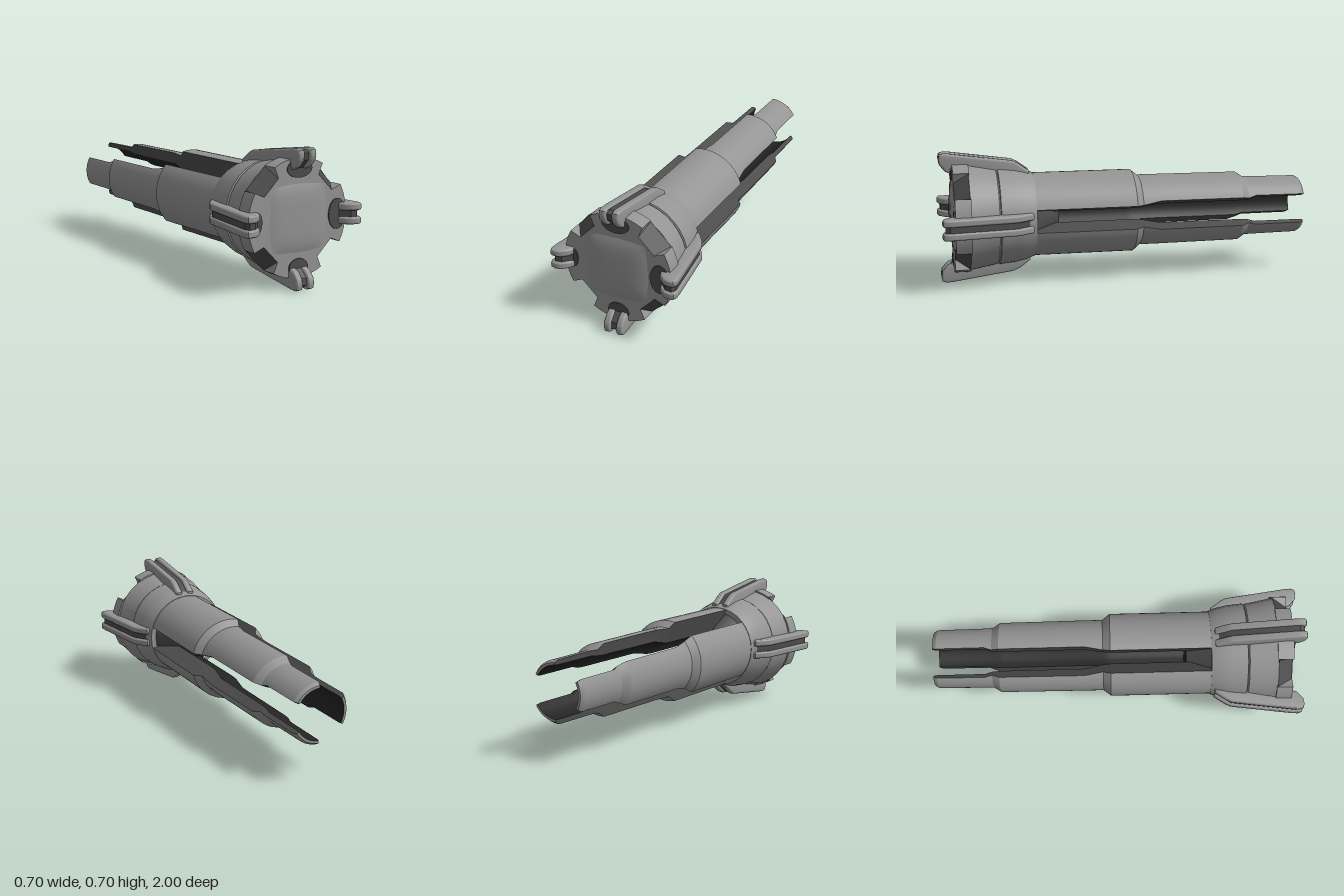
import * as THREE from 'three';
import { toCreasedNormals } from 'three/addons/utils/BufferGeometryUtils.js';
import { ConvexGeometry } from 'three/addons/geometries/ConvexGeometry.js';

const light = new THREE.MeshStandardMaterial({ color: 0x949494 });
light.name = 'lightGrey';
const dark = new THREE.MeshStandardMaterial({ color: 0x4c4c4c });
dark.name = 'darkGrey';
const black = new THREE.MeshStandardMaterial({ color: 0x242424 });
black.name = 'black';

const rad = THREE.MathUtils.degToRad;

function add(parent, name, geo, mat) {
  const mesh = new THREE.Mesh(geo, mat);
  mesh.name = name;
  parent.add(mesh);
  return mesh;
}

// Grid surface; fn(i, j) gives a point and the front faces du x dv
function grid(nu, nv, fn) {
  const pos = [], idx = [];
  for (let j = 0; j <= nv; j++) for (let i = 0; i <= nu; i++) pos.push(...fn(i, j));
  for (let j = 0; j < nv; j++) for (let i = 0; i < nu; i++) {
    const a = j * (nu + 1) + i, b = a + 1, c = a + nu + 1, d = c + 1;
    idx.push(a, b, d, a, d, c);
  }
  const g = new THREE.BufferGeometry();
  g.setAttribute('position', new THREE.Float32BufferAttribute(pos, 3));
  g.setIndex(idx);
  g.computeVertexNormals();
  return toCreasedNormals(g, 0.5);
}

// Lathe around the z axis from [radius, z] pairs with z rising
function turned(points, sides = 32) {
  const g = new THREE.LatheGeometry(points.map(p => new THREE.Vector2(...p)), sides);
  g.rotateX(Math.PI / 2);
  return toCreasedNormals(g, 0.5);
}

// Barrel shell rows: z, outer radius, inner radius, half gap in degrees
const ROWS = [
  [0.53, 0.225, 0.11, 16], [-0.04, 0.225, 0.11, 16], [-0.08, 0.193, 0.11, 18],
  [-0.18, 0.193, 0.128, 24], [-0.64, 0.19, 0.13, 24], [-0.68, 0.164, 0.132, 25],
  [-0.72, 0.163, 0.135, 30], [-0.98, 0.16, 0.135, 30], [-1, 0.148, 0.135, 32],
];

function barrelShell(centre) {
  const g = new THREE.Group();
  g.name = 'barrelShell';
  const n = 14, last = ROWS.length - 1;
  const at = (t, r, row) => {
    const a = rad(centre + t * (60 - row[3]));
    return [r * Math.cos(a), r * Math.sin(a), row[0]];
  };
  add(g, 'shellOutside', grid(n, last, (i, j) => at(1 - 2 * i / n, ROWS[j][1], ROWS[j])), light);
  add(g, 'shellInside', grid(n, last, (i, j) => at(2 * i / n - 1, ROWS[j][2], ROWS[j])), black);
  add(g, 'shellEdge', grid(1, last, (i, j) => at(1, ROWS[j][2 - i], ROWS[j])), dark);
  add(g, 'shellEdge', grid(1, last, (i, j) => at(-1, ROWS[j][1 + i], ROWS[j])), dark);
  add(g, 'shellEnd', grid(n, 1, (i, j) => at(2 * i / n - 1, ROWS[last][2 - j], ROWS[last])), light);
  return g;
}

// Fin side profile as [z, radius] pairs, extruded across x
function finPlate(points, width, bevel) {
  const shape = new THREE.Shape(points.map(p => new THREE.Vector2(...p)));
  const geo = new THREE.ExtrudeGeometry(shape, {
    depth: width - 2 * bevel, bevelEnabled: bevel > 0, bevelSize: bevel,
    bevelThickness: bevel, bevelOffset: -bevel, bevelSegments: 3,
  });
  geo.translate(0, 0, -(width - 2 * bevel) / 2);
  geo.rotateY(-Math.PI / 2);
  return toCreasedNormals(geo, 0.6);
}

function fin() {
  const g = new THREE.Group();
  g.name = 'fin';
  const rail = finPlate([
    [0.52, 0.2], [0.93, 0.24], [0.965, 0.255], [0.995, 0.29], [1, 0.32],
    [0.995, 0.342], [0.975, 0.35], [0.94, 0.348], [0.61, 0.302], [0.58, 0.288], [0.52, 0.245],
  ], 0.038, 0.011);
  for (const s of [-1, 1]) add(g, 'finRail', rail, light).position.x = s * 0.035;
  add(g, 'finGroove', finPlate([
    [0.53, 0.2], [0.93, 0.24], [0.98, 0.29], [0.985, 0.325], [0.96, 0.338], [0.61, 0.29], [0.53, 0.235],
  ], 0.036, 0), dark);
  return g;
}

export function createModel() {
  const model = new THREE.Group();
  const body = new THREE.Group();
  body.name = 'body';
  body.position.y = 0.355;
  model.add(body);

  for (const c of [60, 180, 300]) body.add(barrelShell(c));

  // Plug closing the barrel where it meets the head
  add(body, 'barrelPlug', turned([[0.1, 0.37], [0.205, 0.52]]), dark);
  add(body, 'plugCap', turned([[0.001, 0.37], [0.1, 0.37]]), black);

  // Head
  add(body, 'collar', turned([[0.2, 0.5], [0.228, 0.5], [0.243, 0.54], [0.256, 0.6], [0.265, 0.69], [0.25, 0.695]]), light);
  add(body, 'headBarrel', turned([[0.25, 0.69], [0.262, 0.7], [0.277, 0.78], [0.29, 0.85], [0.2, 0.85]]), light);

  // Front ring with four diagonal notches
  const outline = [];
  for (let q = 0; q < 4; q++) {
    const turn = (x, y) => new THREE.Vector2(x, y).rotateAround(new THREE.Vector2(), q * Math.PI / 2);
    for (let k = -4; k <= 4; k++) {
      const a = rad(k * 7.3);
      outline.push(turn(0.297 * Math.cos(a), 0.297 * Math.sin(a)));
    }
    outline.push(turn(0.205, 0.122), turn(0.122, 0.205));
  }
  const plate = new THREE.ExtrudeGeometry(new THREE.Shape(outline), { depth: 0.085, bevelEnabled: false });
  plate.translate(0, 0, 0.845);
  add(body, 'frontRing', toCreasedNormals(plate, 0.5), light);

  // Dark sloping fill in each notch
  const wedge = new ConvexGeometry([
    [0.205, 0.122, 0.928], [0.122, 0.205, 0.928], [0.205, 0.122, 0.84],
    [0.122, 0.205, 0.84], [0.257, 0.147, 0.85], [0.147, 0.257, 0.85],
  ].map(p => new THREE.Vector3(...p)));
  for (let q = 0; q < 4; q++) add(body, 'notch', wedge, dark).rotation.z = q * Math.PI / 2;

  // Softly raised square pillow on the front
  const pillow = new THREE.PlaneGeometry(0.34, 0.34, 20, 20);
  const p = pillow.attributes.position;
  for (let i = 0; i < p.count; i++) {
    const u = p.getX(i) / 0.17, v = p.getY(i) / 0.17;
    const pull = 1 - 0.08 * u * u * v * v;
    p.setXYZ(i, p.getX(i) * pull, p.getY(i) * pull, 0.931 + 0.014 * (1 - u ** 4) * (1 - v ** 4));
  }
  pillow.computeVertexNormals();
  add(body, 'frontPillow', pillow, light);

  // Dark patches at the feet of the fins: x, y, half width, half height
  for (const [x, y, w, h] of [
    [0, 0.245, 0.075, 0.045], [0, -0.245, 0.058, 0.046],
    [0.236, 0, 0.053, 0.078], [-0.245, 0, 0.024, 0.05],
  ]) {
    const patch = add(body, 'finPatch', new THREE.CylinderGeometry(1, 1, 0.006, 24).rotateX(Math.PI / 2), dark);
    patch.position.set(x, y, 0.935);
    patch.scale.set(w, h, 1);
  }

  // Four fins
  for (let q = 0; q < 4; q++) {
    const f = fin();
    f.rotation.z = q * Math.PI / 2;
    body.add(f);
  }
  return model;
}
